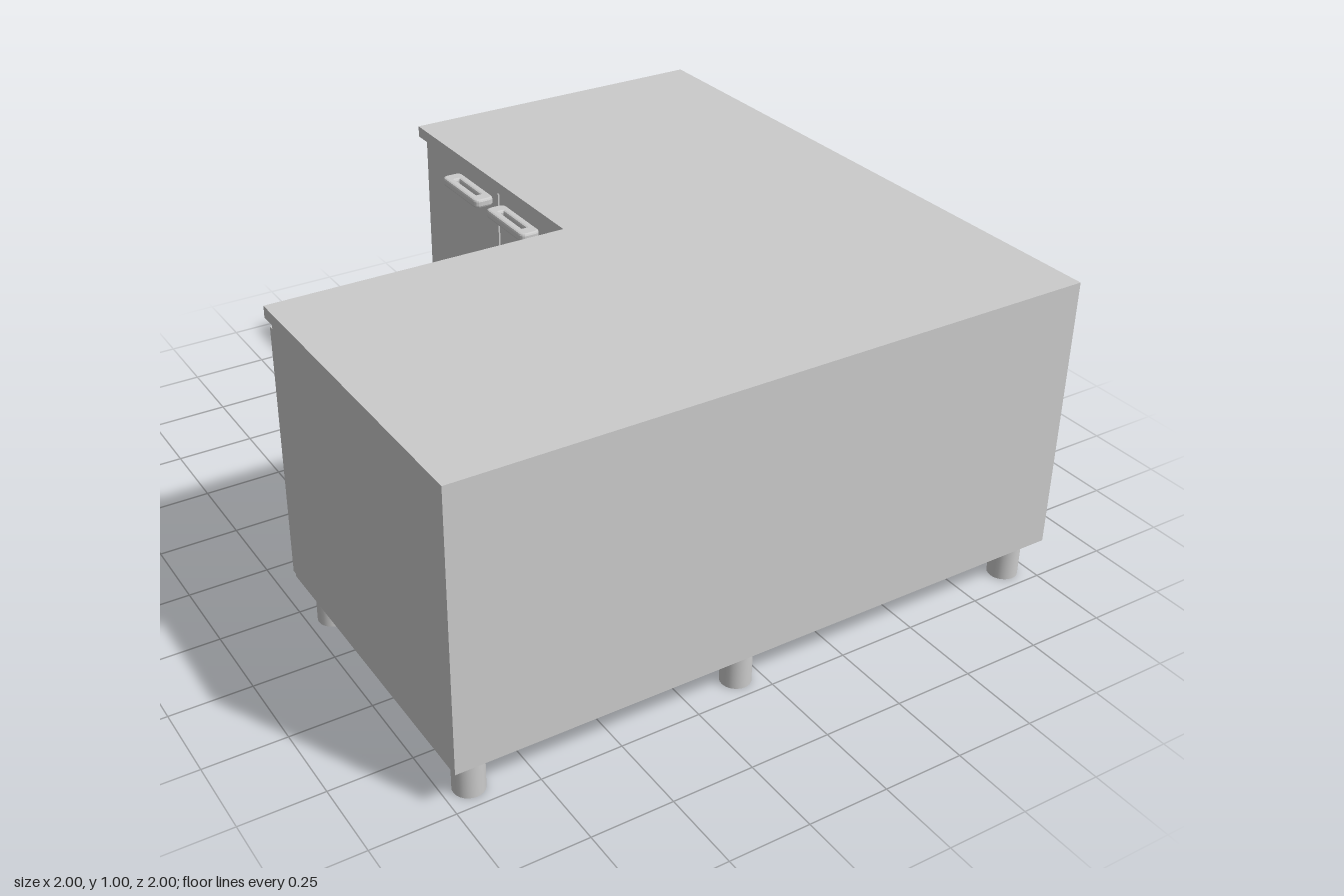
import * as THREE from 'three';

const material = new THREE.MeshStandardMaterial({ color: 0xcccccc });

function add(parent, name, geometry, x = 0, y = 0, z = 0) {
  const mesh = new THREE.Mesh(geometry, material);
  mesh.name = name;
  mesh.position.set(x, y, z);
  parent.add(mesh);
  return mesh;
}

// L-shaped slab between two heights; the inner corner lies at (inner, inner)
function cornerSlab(inner, bottom, top) {
  const outline = [[-1, -1], [1, -1], [1, 1], [inner, 1], [inner, -inner], [-1, -inner]];
  const shape = new THREE.Shape(outline.map(([x, y]) => new THREE.Vector2(x, y)));
  const geometry = new THREE.ExtrudeGeometry(shape, { depth: top - bottom, bevelEnabled: false });
  return geometry.rotateX(-Math.PI / 2).translate(0, bottom, 0);
}

function roundedRect(path, w, h, r) {
  const x = w / 2, y = h / 2;
  path.moveTo(-x + r, -y);
  path.lineTo(x - r, -y);
  path.quadraticCurveTo(x, -y, x, -y + r);
  path.lineTo(x, y - r);
  path.quadraticCurveTo(x, y, x - r, y);
  path.lineTo(-x + r, y);
  path.quadraticCurveTo(-x, y, -x, y - r);
  path.lineTo(-x, -y + r);
  path.quadraticCurveTo(-x, -y, -x + r, -y);
  return path;
}

// Flat horizontal loop with a finger slot and softened edges
function handleGeometry() {
  const bevel = 0.007;
  const shape = roundedRect(new THREE.Shape(), 0.235 - 2 * bevel, 0.068 - 2 * bevel, 0.014);
  shape.holes.push(roundedRect(new THREE.Path(), 0.155, 0.028, 0.008));
  const geometry = new THREE.ExtrudeGeometry(shape, {
    depth: 0.014, bevelThickness: bevel, bevelSize: bevel, bevelSegments: 2, curveSegments: 4,
  });
  return geometry.rotateX(-Math.PI / 2).translate(0, -0.007, 0);
}

// Pair of doors with handles, built facing +z and spread along one side of x
function doorFront(name, side) {
  const group = new THREE.Group();
  group.name = name;
  const handle = handleGeometry();
  const doors = [[0.505, 0.997, 0.65], [0.04, 0.495, 0.355]];
  for (const [near, far, grip] of doors) {
    add(group, 'door', new THREE.BoxGeometry(far - near, 0.815, 0.022),
      side * (near + far) / 2, 0.5405, 0.014);
    add(group, 'doorHandle', handle, side * grip, 0.9, 0.056);
  }
  return group;
}

export function createModel() {
  const model = new THREE.Group();
  model.name = 'cornerCabinet';

  add(model, 'cabinetBody', cornerSlab(0, 0.13, 0.964));
  add(model, 'countertop', cornerSlab(-0.052, 0.964, 1));

  // Doors along both inner faces
  const backDoors = doorFront('sideWingDoors', -1);
  backDoors.rotation.y = -Math.PI / 2;
  const frontDoors = doorFront('frontWingDoors', 1);
  frontDoors.rotation.y = Math.PI;
  model.add(backDoors, frontDoors);

  // Four legs under each wing and one under the outer corner
  const leg = new THREE.CylinderGeometry(0.046, 0.046, 0.135, 24);
  const spots = [[0.925, 0.925]];
  for (const a of [0.075, 0.925]) {
    for (const b of [-0.925, -0.075]) spots.push([a, b], [b, a]);
  }
  for (const [x, z] of spots) add(model, 'leg', leg, x, 0.0675, z);

  return model;
}
